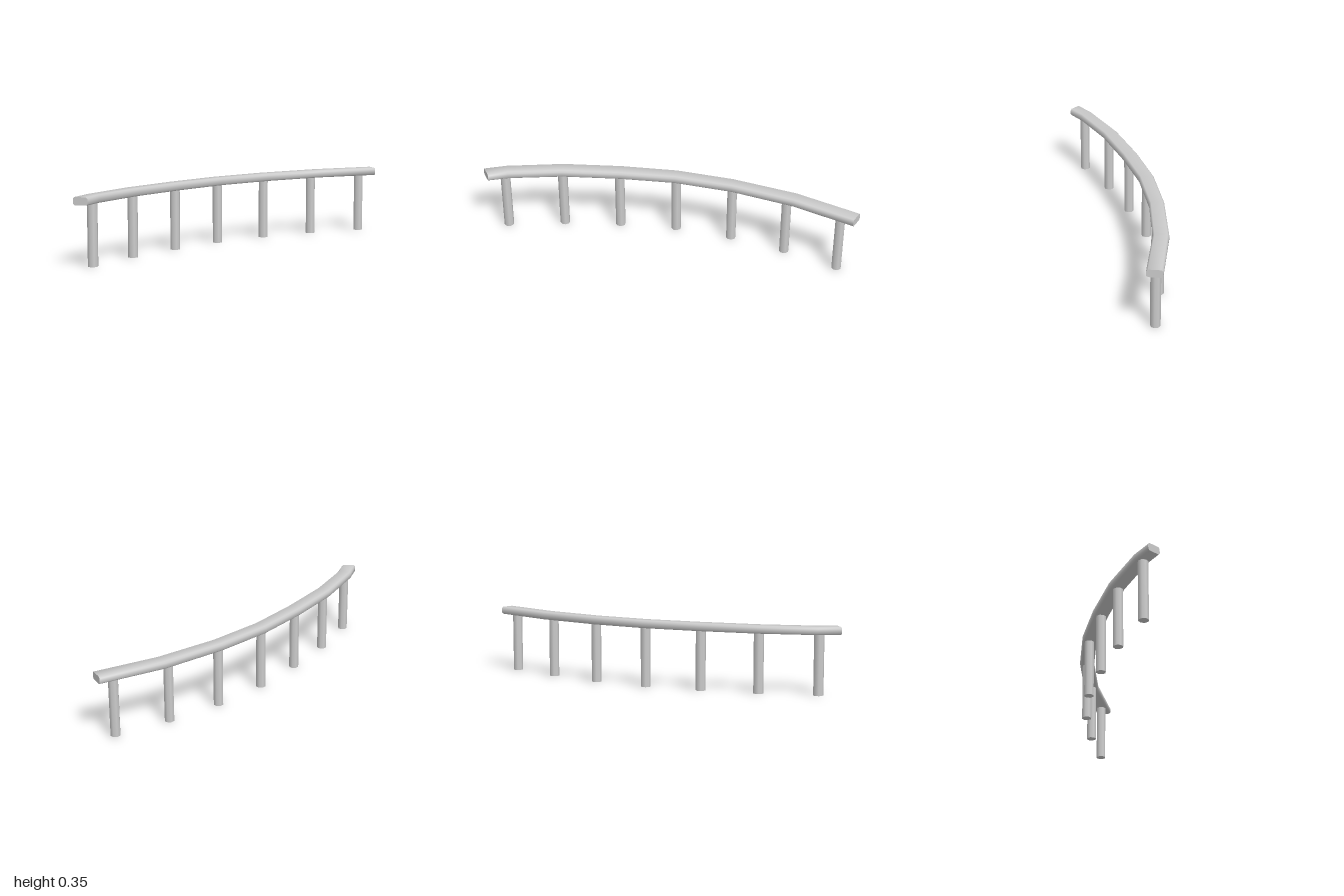
import * as THREE from 'three';
import { toCreasedNormals } from 'three/addons/utils/BufferGeometryUtils.js';

const material = new THREE.MeshStandardMaterial({ color: 0xcccccc });
const BOTTOM = 0.313, TOP = 0.353, CHAMFER = 0.008;

// Plan of the rail: back edge x, z and front edge x, z at each bend
const stations = [
  [-1, 0.05, -0.957, 0.112],
  [-0.89, 0, -0.86, 0.07],
  [-0.595, -0.08, -0.583, -0.002],
  [-0.285, -0.122, -0.277, -0.043],
  [0.016, -0.14, 0.016, -0.063],
  [0.32, -0.118, 0.32, -0.041],
  [0.665, -0.053, 0.65, 0.026],
  [1, 0.064, 0.973, 0.14],
];

// Chamfered section, as [fraction from back to front, height]
const c = CHAMFER / 0.078;
const section = [
  [c, BOTTOM], [0, BOTTOM + CHAMFER], [0, TOP - CHAMFER], [c, TOP],
  [1 - c, TOP], [1, TOP - CHAMFER], [1, BOTTOM + CHAMFER], [1 - c, BOTTOM],
];

function railGeometry() {
  const n = section.length, last = stations.length - 1;
  const positions = [], indices = [];
  for (const [bx, bz, fx, fz] of stations) {
    for (const [t, y] of section) {
      positions.push(bx + (fx - bx) * t, y, bz + (fz - bz) * t);
    }
  }
  for (let i = 0; i < last; i++) {
    for (let j = 0; j < n; j++) {
      const a = i * n + j, b = i * n + (j + 1) % n;
      indices.push(a, a + n, b, b, a + n, b + n);
    }
  }
  // End caps
  for (let j = 1; j < n - 1; j++) {
    indices.push(0, j, j + 1);
    indices.push(last * n, last * n + j + 1, last * n + j);
  }
  // Make every face point outward
  const geometry = new THREE.BufferGeometry();
  geometry.setAttribute('position', new THREE.Float32BufferAttribute(positions, 3));
  geometry.setIndex(indices);
  let volume = 0;
  const p = [0, 1, 2].map(() => new THREE.Vector3());
  for (let i = 0; i < indices.length; i += 3) {
    p.forEach((v, k) => v.fromArray(positions, indices[i + k] * 3));
    volume += p[0].dot(p[1].cross(p[2]));
  }
  if (volume < 0) geometry.setIndex(indices.reverse());
  return toCreasedNormals(geometry, 0.9);
}

export function createModel() {
  const model = new THREE.Group();
  model.name = 'curvedRailing';

  const rail = new THREE.Mesh(railGeometry(), material);
  rail.name = 'rail';
  model.add(rail);

  // Posts under the rail, as x, z
  const postSpots = [
    [-0.885, 0.043], [-0.59, -0.035], [-0.288, -0.08], [0.016, -0.104],
    [0.321, -0.079], [0.617, -0.016], [0.904, 0.075],
  ];
  const height = BOTTOM + 0.005;
  const postGeometry = new THREE.CylinderGeometry(0.026, 0.026, height, 8);
  postGeometry.rotateY(Math.PI / 8);
  postSpots.forEach(([x, z], i) => {
    const post = new THREE.Mesh(postGeometry, material);
    post.name = `post${i + 1}`;
    post.position.set(x, height / 2, z);
    model.add(post);
  });
  return model;
}
